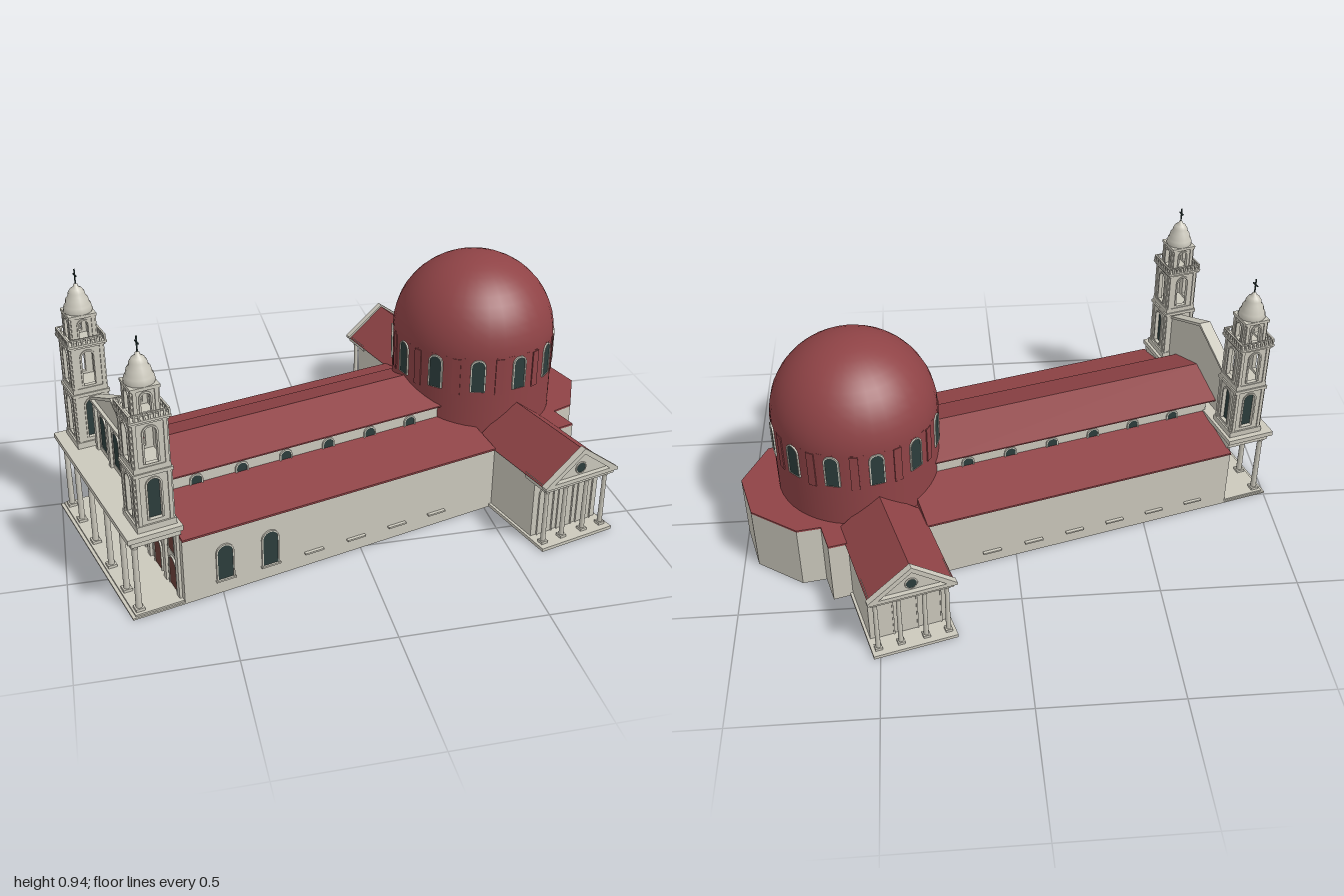
import * as THREE from 'three';

const mat = (color, side = THREE.FrontSide) => new THREE.MeshStandardMaterial({ color, side });
const stone = mat(0xcbc8bc), red = mat(0x8f4346), glass = mat(0x2c3d3c), wood = mat(0x6a3f38);

function add(parent, name, geo, material, x = 0, y = 0, z = 0, ry = 0) {
  const m = new THREE.Mesh(geo, material);
  m.name = name;
  m.position.set(x, y, z);
  m.rotation.y = ry;
  parent.add(m);
  return m;
}

// box given by its extents
const block = (p, name, x0, x1, y0, y1, z0, z1, m = stone) =>
  add(p, name, new THREE.BoxGeometry(x1 - x0, y1 - y0, z1 - z0), m, (x0 + x1) / 2, (y0 + y1) / 2, (z0 + z1) / 2);

const poly = (pts) => new THREE.Shape(pts.map(([x, y]) => new THREE.Vector2(x, y)));
const extrude = (shape, depth) => new THREE.ExtrudeGeometry(shape, { depth, bevelEnabled: false, curveSegments: 8 });

// cross-section (z, y) swept along x
const prismX = (p, name, pts, x0, x1, m) =>
  add(p, name, extrude(poly(pts), x1 - x0).rotateY(Math.PI / 2), m, x0);
// cross-section (x, y) swept along z
const prismZ = (p, name, pts, z0, z1, m) => add(p, name, extrude(poly(pts), z1 - z0), m, 0, 0, z0);

function arch(w, h, Type = THREE.Shape, y = 0) {
  const s = new Type(), r = w / 2;
  s.moveTo(-r, y);
  s.lineTo(r, y);
  s.lineTo(r, y + h - r);
  s.absarc(0, y + h - r, r, 0, Math.PI, false);
  s.lineTo(-r, y);
  return s;
}

// arched pane with raised surround, facing +z before turning by ry
function archWindow(p, name, x, y, z, ry, w, h, m = glass) {
  const g = new THREE.Group();
  g.name = name;
  g.position.set(x, y, z);
  g.rotation.y = ry;
  add(g, 'pane', extrude(arch(w, h), 0.003), m);
  const ring = arch(w + 0.01, h + 0.005);
  ring.holes.push(arch(w, h, THREE.Path));
  add(g, 'surround', extrude(ring, 0.006), stone);
  p.add(g);
}

function column(p, x, z, y0, y1, r) {
  const g = new THREE.Group();
  g.name = 'column';
  g.position.set(x, 0, z);
  block(g, 'columnBase', -r * 1.4, r * 1.4, y0, y0 + 0.01, -r * 1.4, r * 1.4);
  add(g, 'columnShaft', new THREE.CylinderGeometry(r * 0.85, r, y1 - y0, 12), stone, 0, (y0 + y1) / 2);
  add(g, 'columnCapital', new THREE.CylinderGeometry(r * 1.5, r * 0.9, 0.016, 12), stone, 0, y1 - 0.012);
  block(g, 'abacus', -r * 1.5, r * 1.5, y1 - 0.005, y1, -r * 1.5, r * 1.5);
  p.add(g);
}

// square open storey: four walls pierced by arches, with corner pilasters
function storey(p, name, half, y0, y1, w, h, sill) {
  const g = new THREE.Group();
  g.name = name;
  g.position.y = y0;
  const H = y1 - y0, d = 0.012;
  for (let i = 0; i < 4; i++) {
    const a = i * Math.PI / 2;
    const wall = poly([[-half, 0], [half, 0], [half, H], [-half, H]]);
    wall.holes.push(arch(w, h, THREE.Path, sill));
    add(g, 'archedWall', extrude(wall, d).translate(0, 0, half - d), stone, 0, 0, 0, a);
    const ring = arch(w + 0.012, h + 0.006, THREE.Shape, sill);
    ring.holes.push(arch(w, h, THREE.Path, sill));
    add(g, 'archSurround', extrude(ring, 0.004).translate(0, 0, half), stone, 0, 0, 0, a);
    for (const s of [-1, 1])
      add(g, 'pilaster', new THREE.BoxGeometry(0.012, H, 0.008).translate(s * (half - 0.008), H / 2, half), stone, 0, 0, 0, a);
  }
  p.add(g);
}

const slab = (p, name, half, y0, y1) => block(p, name, -half, half, y0, y1, -half, half);

function tower(p, x, z) {
  const t = new THREE.Group();
  t.name = 'bellTower';
  t.position.set(x, 0, z);
  slab(t, 'towerFoot', 0.066, 0.3, 0.325);
  storey(t, 'lowerStorey', 0.06, 0.325, 0.505, 0.044, 0.145, 0.015);
  slab(t, 'towerCore', 0.049, 0.325, 0.5).material = glass;
  slab(t, 'lowerCornice', 0.066, 0.5, 0.512);
  slab(t, 'middleFoot', 0.061, 0.512, 0.53);
  storey(t, 'upperStorey', 0.058, 0.53, 0.685, 0.042, 0.125, 0.01);
  slab(t, 'upperCornice', 0.064, 0.68, 0.688);
  slab(t, 'terrace', 0.069, 0.688, 0.696);
  // balustrade
  for (let i = 0; i < 4; i++) {
    const a = i * Math.PI / 2;
    add(t, 'handrail', new THREE.BoxGeometry(0.134, 0.004, 0.006).translate(0, 0.716, 0.064), stone, 0, 0, 0, a);
    for (let k = 0; k < 8; k++)
      add(t, 'baluster', new THREE.BoxGeometry(0.006, 0.02, 0.006).translate(-0.064 + k * 0.016, 0.705, 0.064), stone, 0, 0, 0, a);
  }
  storey(t, 'belfry', 0.043, 0.696, 0.785, 0.032, 0.068, 0.008);
  slab(t, 'belfryCornice', 0.048, 0.782, 0.793);
  const cap = [[0.046, 0.79], [0.05, 0.798], [0.046, 0.815], [0.041, 0.822], [0.038, 0.838], [0.03, 0.848],
    [0.028, 0.86], [0.02, 0.873], [0.009, 0.88], [0.007, 0.888], [0, 0.892]];
  add(t, 'towerCap', new THREE.LatheGeometry(cap.map(([r, y]) => new THREE.Vector2(r, y)), 16), stone);
  block(t, 'crossPost', -0.002, 0.002, 0.885, 0.942, -0.002, 0.002, glass);
  block(t, 'crossArm', -0.002, 0.002, 0.919, 0.923, -0.015, 0.015, glass);
  p.add(t);
}

// gabled side arm with columned front, built towards +z
function transept(p, ry) {
  const t = new THREE.Group();
  t.name = 'transept';
  t.rotation.y = ry;
  block(t, 'transeptPlinth', -0.15, 0.15, 0, 0.012, 0.3, 0.695);
  block(t, 'transeptWalls', -0.14, 0.14, 0, 0.245, 0.3, 0.61);
  block(t, 'entablature', -0.145, 0.145, 0.228, 0.25, 0.56, 0.68);
  prismZ(t, 'transeptRoof', [[-0.15, 0.245], [0.15, 0.245], [0, 0.36]], 0.28, 0.668, red);
  prismZ(t, 'tympanum', [[-0.14, 0.247], [0.14, 0.247], [0, 0.354]], 0.66, 0.673, stone);
  const frame = poly([[-0.155, 0.243], [0.155, 0.243], [0.155, 0.252], [0, 0.368], [-0.155, 0.252]]);
  frame.holes.push(new THREE.Path([[-0.118, 0.258], [0, 0.347], [0.118, 0.258]].map((q) => new THREE.Vector2(...q))));
  add(t, 'pedimentCornice', extrude(frame, 0.024), stone, 0, 0, 0.666);
  add(t, 'roundWindow', new THREE.CylinderGeometry(0.018, 0.018, 0.004, 20).rotateX(Math.PI / 2), glass, 0, 0.287, 0.675);
  add(t, 'roundWindowRim', new THREE.TorusGeometry(0.02, 0.003, 6, 20), stone, 0, 0.287, 0.675);
  for (const x of [-0.125, -0.045, 0.045, 0.125]) column(t, x, 0.66, 0.012, 0.23, 0.009);
  for (const x of [-0.085, 0, 0.085]) archWindow(t, 'blindArch', x, 0.012, 0.61, 0, 0.055, 0.19, stone);
  p.add(t);
}

export function createModel() {
  const model = new THREE.Group();
  const church = new THREE.Group();
  church.name = 'church';
  church.position.set(0.564, 0, -0.037);
  church.rotation.y = 0.272;
  model.add(church);

  // main walls, with polygonal apse
  const apse = [[0.21, 0.37], [0.21, 0.26], [0.295, 0.25], [0.425, 0.095]];
  const half = (x0, v) => [[x0, v], ...apse];
  const plan = (x0, v) => poly([...half(x0, v), ...half(x0, v).reverse().map(([x, z]) => [x, -z])].reverse());
  const flat = (shape, h) => extrude(shape, h).rotateX(-Math.PI / 2);
  add(church, 'mainWalls', flat(plan(-1.345, 0.378), 0.243), stone);
  add(church, 'apseRoof', flat(plan(-0.15, 0.38), 0.007), red, 0, 0.243);

  // aisle roofs, clerestory and nave roof
  prismX(church, 'aisleRoof', [[-0.384, 0.243], [0.384, 0.243], [0.384, 0.25], [0.16, 0.298], [-0.16, 0.298], [-0.384, 0.25]], -1.345, -0.145, red);
  block(church, 'clerestory', -1.345, -0.2, 0.28, 0.346, -0.16, 0.16);
  prismX(church, 'naveRoof', [[-0.172, 0.342], [0.172, 0.342], [0.172, 0.347], [0, 0.408], [-0.172, 0.347]], -1.38, -0.2, red);
  for (const s of [-1, 1]) {
    const ry = s > 0 ? 0 : Math.PI;
    for (let i = 0; i < 6; i++) {
      archWindow(church, 'clerestoryWindow', -1.2 + i * 0.166, 0.285, s * 0.16, ry, 0.038, 0.045);
      block(church, 'windowSill', -1.235 + i * 0.163, -1.165 + i * 0.163, 0.05, 0.056, s * 0.382 - 0.006, s * 0.382 + 0.006);
    }
    transept(church, ry);
    tower(church, -1.413, s * 0.291);
  }
  for (const x of [-1.2, -1.037]) archWindow(church, 'aisleWindow', x, 0.056, 0.378, 0, 0.054, 0.128);

  // drum and dome
  add(church, 'drum', new THREE.CylinderGeometry(0.298, 0.298, 0.31, 48), red, 0, 0.395);
  add(church, 'dome', new THREE.SphereGeometry(0.299, 32, 12, 0, Math.PI * 2, 0, Math.PI / 2).scale(1, 0.97, 1), red, 0, 0.545);
  for (let i = 0; i < 12; i++) {
    const a = i * Math.PI / 6, b = a + Math.PI / 12;
    archWindow(church, 'drumWindow', 0.297 * Math.sin(a), 0.42, 0.297 * Math.cos(a), a, 0.046, 0.122);
    add(church, 'drumPilaster', new THREE.BoxGeometry(0.03, 0.14, 0.008), red, 0.297 * Math.sin(b), 0.475, 0.297 * Math.cos(b), b);
  }

  // front porch: steps, columns, deck
  block(church, 'lowerStep', -1.523, -1.34, 0, 0.006, -0.378, 0.378);
  block(church, 'upperStep', -1.512, -1.34, 0.006, 0.012, -0.372, 0.372);
  block(church, 'porchBeam', -1.506, -1.34, 0.262, 0.285, -0.365, 0.365);
  block(church, 'porchDeck', -1.52, -1.335, 0.285, 0.303, -0.378, 0.378);
  for (const z of [0.345, 0.23, 0.08]) for (const s of [-1, 1]) {
    column(church, -1.49, s * z, 0.012, 0.264, 0.011);
    block(church, 'wallPilaster', -1.355, -1.34, 0.012, 0.264, s * z - 0.012, s * z + 0.012);
  }
  for (const z of [-0.29, -0.155, 0, 0.155, 0.29]) {
    archWindow(church, 'door', -1.345, 0.012, z, -Math.PI / 2, 0.06, 0.115, wood);
    archWindow(church, 'upperWindow', -1.345, 0.155, z, -Math.PI / 2, 0.05, 0.085, wood);
  }

  // gabled screen between the towers
  prismX(church, 'frontGable', [[-0.235, 0.3], [0.235, 0.3], [0.235, 0.485], [0, 0.588], [-0.235, 0.485]], -1.41, -1.38, stone);
  prismX(church, 'gableCornice', [[-0.235, 0.482], [0, 0.584], [0.235, 0.482], [0.235, 0.492], [0, 0.596], [-0.235, 0.492]], -1.42, -1.375, stone);
  for (const z of [-0.13, 0, 0.13]) archWindow(church, 'gableWindow', -1.41, 0.33, z, -Math.PI / 2, 0.055, 0.13);
  for (const z of [-0.2, -0.065, 0.065, 0.2]) block(church, 'gablePilaster', -1.42, -1.405, 0.303, 0.485, z - 0.01, z + 0.01);
  block(church, 'gableBand', -1.422, -1.4, 0.48, 0.49, -0.23, 0.23);

  return model;
}
